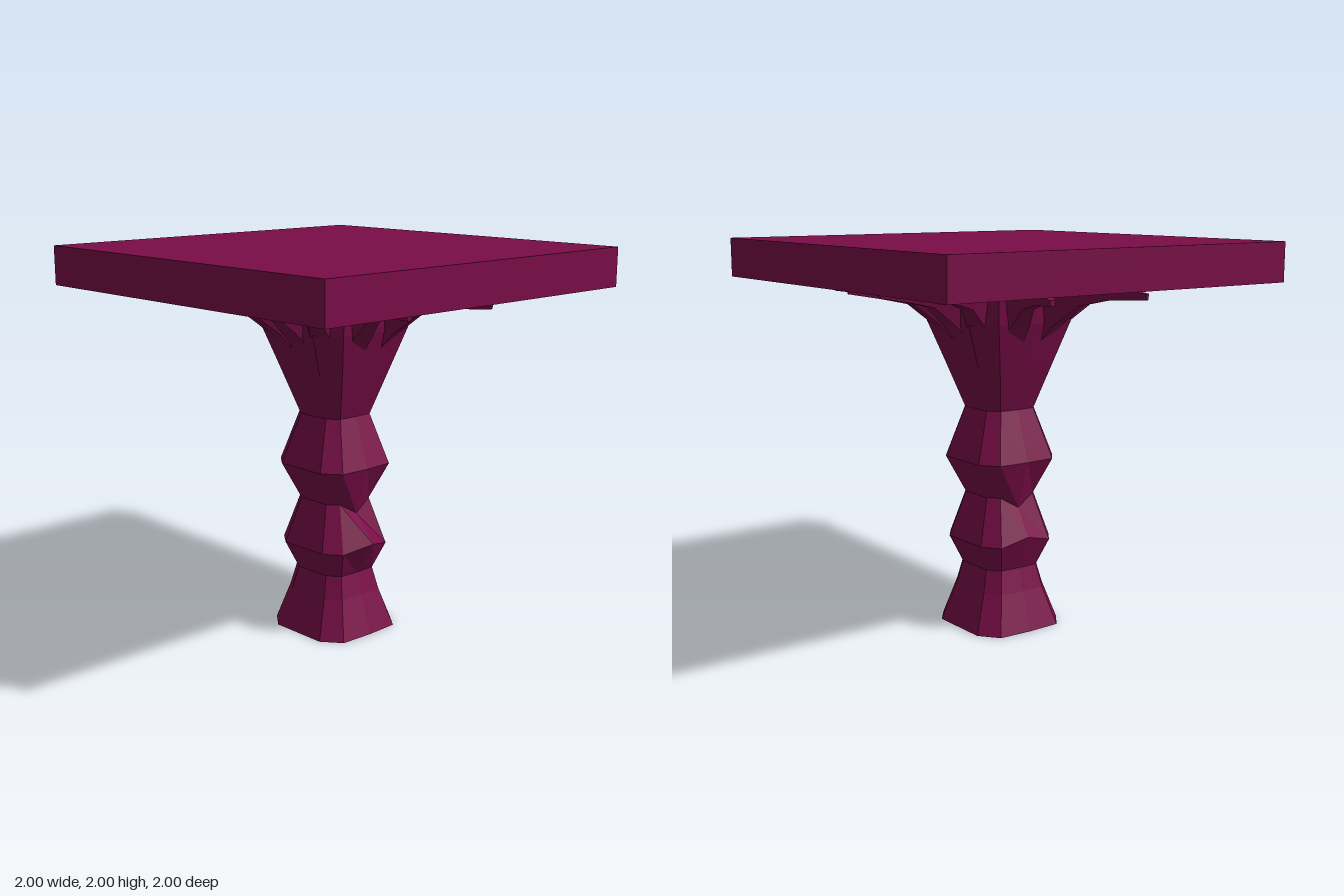
import * as THREE from 'three';

// Skin matching rings of points with flat facets and close both ends
function loft(rings) {
  const pos = [];
  const tri = (...pts) => pts.forEach(p => pos.push(...p));
  const n = rings[0].length;
  for (let k = 0; k + 1 < rings.length; k++) {
    const a = rings[k], b = rings[k + 1];
    for (let i = 0; i < n; i++) {
      const j = (i + 1) % n;
      tri(a[i], b[i], b[j]);
      tri(a[i], b[j], a[j]);
    }
  }
  const first = rings[0], last = rings[rings.length - 1];
  for (let i = 1; i + 1 < n; i++) {
    tri(first[0], first[i], first[i + 1]);
    tri(last[0], last[i + 1], last[i]);
  }
  const geo = new THREE.BufferGeometry();
  geo.setAttribute('position', new THREE.Float32BufferAttribute(pos, 3));
  geo.computeVertexNormals();
  return geo;
}

// Ten-sided trunk section: broad front and back, a ridge down each side
function trunkRing([y, hx, hz, ridgeY = y, leftRidge = hx, rightRidge = hx]) {
  const x1 = hx * 0.97, z1 = hz * 0.7, x2 = hx * 0.6;
  return [
    [leftRidge, ridgeY, 0], [x1, y, z1], [x2, y, hz], [-x2, y, hz], [-x1, y, z1],
    [-rightRidge, ridgeY, 0], [-x1, y, -z1], [-x2, y, -hz], [x2, y, -hz], [x1, y, -z1],
  ];
}

// Tapered branch section across the radial direction
const branchRing = ([r, bottom, top, w]) => [
  [r, top, w], [r, top, -w], [r, bottom, -w * 0.55], [r, bottom, w * 0.55],
];

export function createModel() {
  const model = new THREE.Group();
  const plum = new THREE.MeshStandardMaterial({ color: 0x7a0d48, flatShading: true });
  plum.name = 'plum';
  const add = (name, geo) => {
    const mesh = new THREE.Mesh(geo, plum);
    mesh.name = name;
    model.add(mesh);
    return mesh;
  };

  // Square slab
  add('tableTop', new THREE.BoxGeometry(2, 0.2, 2)).position.y = 1.9;

  // Knobbly trunk: height, half width, half depth, ridge height, ridge reach
  add('trunk', loft([
    [0, 0.27, 0.26],
    [0.2, 0.205, 0.19],
    [0.32, 0.175, 0.16],
    [0.46, 0.235, 0.22, 0.5, 0.29, 0.25],
    [0.7, 0.155, 0.148, 0.64, 0.165, 0.165],
    [0.89, 0.243, 0.236],
    [1.15, 0.158, 0.148],
    [1.39, 0.24, 0.238],
    [1.6, 0.31, 0.32],
    [1.73, 0.33, 0.34],
  ].map(trunkRing)));

  // Twelve branches spread under the slab, mirrored in four quarters
  const spread = [[20, 0.84, 1.735], [55, 0.83, 1.745], [80, 0.81, 1.755]];
  for (const [deg, reach, tipY] of spread) {
    for (const angle of [deg, 180 - deg, 180 + deg, 360 - deg]) {
      const branch = add('branch', loft([
        [0.2, 1.42, 1.62, 0.06],
        [0.34, 1.58, 1.74, 0.09],
        [0.48, 1.69, 1.775, 0.055],
        [0.64, 1.725, 1.795, 0.035],
        [reach, tipY, tipY + 0.03, 0.016],
      ].map(branchRing)));
      branch.rotation.y = -THREE.MathUtils.degToRad(angle);
    }
  }
  return model;
}
